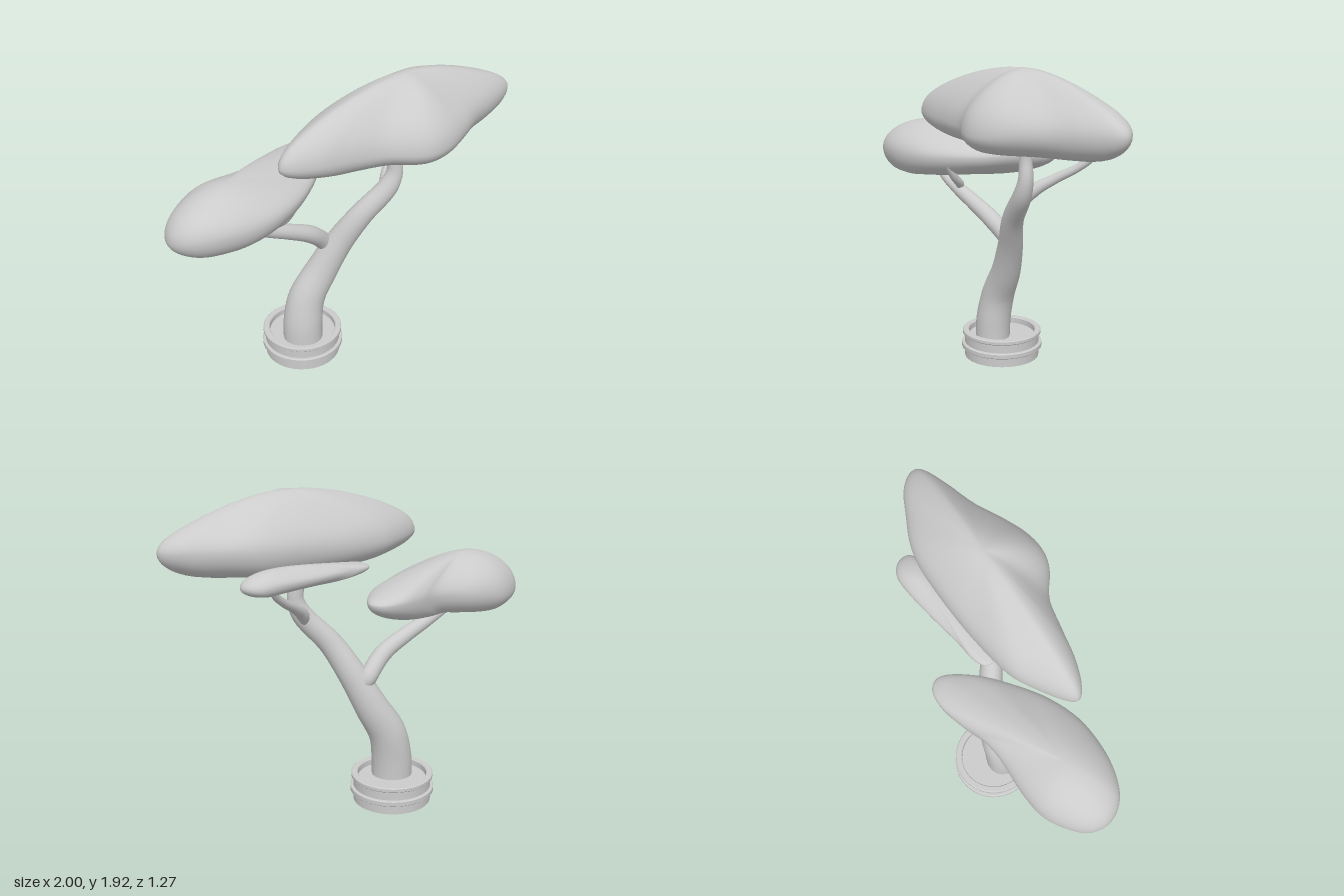
import * as THREE from 'three';
import { mergeVertices, toCreasedNormals } from 'three/addons/utils/BufferGeometryUtils.js';

const material = new THREE.MeshStandardMaterial({ color: 0xcccccc });
const openMaterial = new THREE.MeshStandardMaterial({ color: 0xcccccc, side: THREE.DoubleSide });

function addMesh(group, name, geometry, mat = material) {
  const mesh = new THREE.Mesh(geometry, mat);
  mesh.name = name;
  group.add(mesh);
}

// Tapered limb along a smooth path; each point is [x, y, z, radius].
// depth flattens the section along z.
function limb(points, segments = 32, depth = 1) {
  const curve = new THREE.CatmullRomCurve3(points.map(([x, y, z]) => new THREE.Vector3(x, y, z)));
  const sides = 18;
  const geometry = new THREE.TubeGeometry(curve, segments, 1, sides);
  const pos = geometry.attributes.position;
  const v = new THREE.Vector3();
  for (let i = 0; i <= segments; i++) {
    const u = i / segments;
    const centre = curve.getPointAt(u);
    const t = curve.getUtoTmapping(u) * (points.length - 1);
    const k = Math.min(Math.floor(t), points.length - 2);
    const radius = THREE.MathUtils.lerp(points[k][3], points[k + 1][3], t - k);
    for (let j = 0; j <= sides; j++) {
      const n = i * (sides + 1) + j;
      v.fromBufferAttribute(pos, n).sub(centre).multiplyScalar(radius);
      v.z *= depth;
      v.add(centre);
      pos.setXYZ(n, v.x, v.y, v.z);
    }
  }
  // Weld the seam so the limb is smooth all round
  geometry.deleteAttribute('uv');
  geometry.deleteAttribute('normal');
  const welded = mergeVertices(geometry, 1e-5);
  welded.computeVertexNormals();
  return welded;
}

// Foliage pad: a closed outline of [x, z, edge height, fullness] shrinking to a
// crown above and an underside below; fullness 1 is round, 0 is a soft bell.
// dish hollows the middle of the underside.
function pad(outline, [cx, cz], topY, bottomY, underFullness, dish) {
  const closed = (fn) => new THREE.CatmullRomCurve3(outline.map(fn), true, 'catmullrom', 0.5);
  const rim = closed(([x, z, y]) => new THREE.Vector3(x, y, z));
  const full = closed((p) => new THREE.Vector3(p[3], 0, 0));
  const around = 80, rings = 36;
  const positions = [], index = [];
  for (let j = 0; j <= rings; j++) {
    const phi = Math.PI * (0.5 - j / rings);
    const s = j === 0 || j === rings ? 0 : Math.cos(phi);
    const upper = phi >= 0;
    const round = Math.sqrt(1 - Math.pow(s, upper ? 2 : 3));
    const bell = (1 + Math.cos(Math.PI * s)) / 2;
    const hollow = upper ? 0 : dish * (1 + Math.cos(Math.PI * Math.min(1, s / 0.85))) / 2;
    for (let i = 0; i < around; i++) {
      const p = rim.getPoint(i / around);
      const k = full.getPoint(i / around).x;
      const f = THREE.MathUtils.lerp(bell, round, upper ? k : Math.min(1, k + underFullness));
      const y = THREE.MathUtils.lerp(p.y, upper ? topY : bottomY, f) + hollow;
      positions.push(cx + (p.x - cx) * s, y, cz + (p.z - cz) * s);
      const a = j * around + i, c = j * around + (i + 1) % around;
      const b = a + around, d = c + around;
      if (j > 0 && j < rings) index.push(a, b, c);
      if (j < rings - 1) index.push(b, d, c);
    }
  }
  let geometry = new THREE.BufferGeometry();
  geometry.setAttribute('position', new THREE.Float32BufferAttribute(positions, 3));
  geometry.setIndex(index);
  geometry = mergeVertices(geometry, 1e-5);
  geometry.computeVertexNormals();
  return geometry;
}

export function createModel() {
  const group = new THREE.Group();

  // Round pot with a raised band, a rim and a sunken soil floor
  const profile = [
    [0, 0], [0.237, 0], [0.237, 0.058], [0.25, 0.058], [0.256, 0.063], [0.256, 0.088], [0.25, 0.093],
    [0.237, 0.093], [0.237, 0.148], [0.245, 0.148], [0.25, 0.153], [0.25, 0.171], [0.245, 0.176],
    [0.215, 0.176], [0.21, 0.17], [0.21, 0.135], [0, 0.135],
  ].map(([x, y]) => new THREE.Vector2(x, y));
  const pot = new THREE.LatheGeometry(profile, 48);
  pot.translate(-0.273, 0, -0.08);
  addMesh(group, 'pot', toCreasedNormals(pot, 0.6), openMaterial);

  // Trunk and branches
  addMesh(group, 'trunk', limb([
    [-0.268, 0.1, -0.02, 0.124], [-0.266, 0.25, -0.026, 0.124], [-0.24, 0.42, -0.052, 0.116],
    [-0.145, 0.6, -0.088, 0.102], [-0.035, 0.8, -0.1, 0.087], [0.1, 1.0, -0.095, 0.073],
    [0.262, 1.18, -0.125, 0.063], [0.3, 1.28, -0.138, 0.05], [0.288, 1.4, -0.138, 0.043], [0.305, 1.55, -0.13, 0.036],
  ], 48, 0.88), openMaterial);
  addMesh(group, 'leftBranch', limb([
    [-0.08, 0.72, -0.12, 0.03], [-0.12, 0.79, -0.11, 0.054], [-0.205, 0.915, -0.01, 0.054],
    [-0.33, 1.0, 0.09, 0.048], [-0.44, 1.06, 0.17, 0.042], [-0.56, 1.13, 0.25, 0.032], [-0.66, 1.2, 0.29, 0.025],
  ]), openMaterial);
  addMesh(group, 'leftTwig', limb([
    [-0.46, 1.06, 0.18, 0.012], [-0.41, 1.1, 0.17, 0.027], [-0.35, 1.16, 0.21, 0.025], [-0.3, 1.25, 0.26, 0.02],
  ]), openMaterial);
  addMesh(group, 'backBranch', limb([
    [0.24, 1.1, -0.12, 0.02], [0.252, 1.2, -0.185, 0.04], [0.285, 1.28, -0.31, 0.029],
    [0.33, 1.35, -0.43, 0.024], [0.36, 1.41, -0.5, 0.022], [0.37, 1.48, -0.54, 0.02],
  ]), openMaterial);

  // Large upper foliage
  addMesh(group, 'topFoliage', pad([
    [-0.37, 0.36, 1.59, 0.8], [-0.31, 0.41, 1.59, 0.8], [-0.15, 0.38, 1.59, 0.8], [0.02, 0.31, 1.59, 0.8],
    [0.22, 0.235, 1.58, 0.8], [0.4, 0.235, 1.58, 0.85], [0.51, 0.2, 1.58, 0.85], [0.61, 0.11, 1.59, 0.8],
    [0.7, -0.03, 1.61, 0.7], [0.79, -0.2, 1.62, 0.7], [0.91, -0.36, 1.63, 0.7], [0.995, -0.5, 1.64, 0.7],
    [0.975, -0.57, 1.64, 0.7], [0.86, -0.6, 1.65, 0.7], [0.7, -0.58, 1.65, 0.7], [0.53, -0.55, 1.65, 0.7],
    [0.39, -0.49, 1.64, 0.7], [0.2, -0.36, 1.63, 0.7], [0.0, -0.2, 1.61, 0.7], [-0.2, -0.01, 1.6, 0.75],
    [-0.29, 0.14, 1.59, 0.8],
  ], [0.35, -0.13], 1.925, 1.445, 0.3, 0.07));

  // Left foliage, thick at the front and thin at the back
  addMesh(group, 'leftFoliage', pad([
    [-1.0, 0.42, 1.22, 0.95], [-0.98, 0.54, 1.23, 0.95], [-0.91, 0.61, 1.25, 0.95], [-0.8, 0.635, 1.27, 0.95],
    [-0.65, 0.6, 1.28, 0.9], [-0.5, 0.52, 1.28, 0.85], [-0.36, 0.4, 1.29, 0.75], [-0.25, 0.23, 1.3, 0.7],
    [-0.18, 0.04, 1.31, 0.65], [-0.14, -0.14, 1.33, 0.65], [-0.13, -0.3, 1.33, 0.65], [-0.155, -0.39, 1.33, 0.65],
    [-0.23, -0.415, 1.33, 0.65], [-0.33, -0.36, 1.33, 0.65], [-0.43, -0.24, 1.32, 0.65], [-0.51, -0.12, 1.31, 0.7],
    [-0.62, -0.02, 1.29, 0.8], [-0.8, 0.1, 1.26, 0.9], [-0.93, 0.23, 1.23, 0.95],
  ], [-0.67, 0.33], 1.475, 1.09, 0, 0.06));

  // Small thin foliage at the back
  addMesh(group, 'backFoliage', pad([
    [-0.13, -0.12, 1.48, 0.7], [-0.1, -0.06, 1.48, 0.7], [0.0, -0.03, 1.48, 0.7], [0.2, -0.13, 1.48, 0.7],
    [0.4, -0.36, 1.48, 0.8], [0.52, -0.52, 1.48, 0.9], [0.535, -0.59, 1.47, 0.9], [0.48, -0.635, 1.47, 0.9],
    [0.4, -0.63, 1.47, 0.9], [0.3, -0.56, 1.48, 0.8], [0.15, -0.42, 1.48, 0.7], [0.0, -0.27, 1.48, 0.7],
    [-0.09, -0.19, 1.48, 0.7],
  ], [0.36, -0.48], 1.555, 1.41, 0.1, 0.02));

  return group;
}
